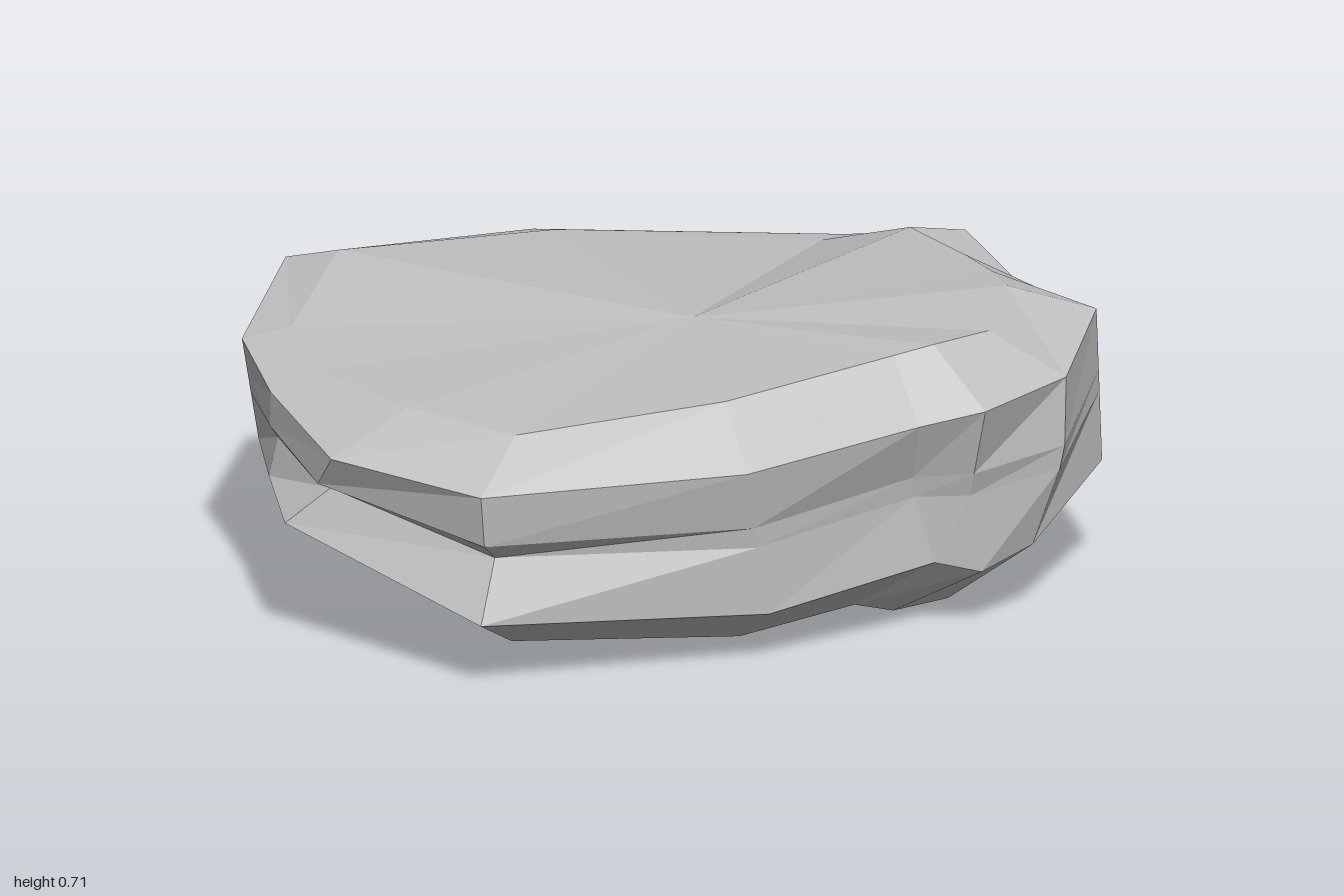
import * as THREE from 'three';

const stone = new THREE.MeshStandardMaterial({ color: 0xc0c0c0, flatShading: true });
stone.name = 'light grey stone';

// Cross-sections [x, y, z], starting at the back and passing +x, front, -x
const crown = [
  [0, 0.63, -0.64], [0.63, 0.555, -0.55], [0.75, 0.655, -0.29], [0.77, 0.68, 0], [0.77, 0.697, 0.19],
  [0.75, 0.71, 0.33], [0.62, 0.685, 0.55], [0.46, 0.69, 0.61], [0.36, 0.675, 0.61], [-0.07, 0.625, 0.64],
  [-0.57, 0.585, 0.58], [-0.74, 0.59, 0.32], [-0.83, 0.585, -0.02], [-0.8, 0.605, -0.28], [-0.56, 0.665, -0.59],
];
const shoulder = [
  [0, 0.585, -0.785], [0.71, 0.54, -0.61], [0.9, 0.62, -0.32], [0.92, 0.58, 0], [0.94, 0.61, 0.19],
  [0.96, 0.64, 0.37], [0.78, 0.58, 0.64], [0.53, 0.565, 0.765], [0.38, 0.535, 0.73], [-0.07, 0.49, 0.78],
  [-0.7, 0.48, 0.69], [-0.95, 0.505, 0.37], [-0.95, 0.545, -0.02], [-0.91, 0.58, -0.31], [-0.65, 0.624, -0.7],
];
const skirt = [
  [0, 0.315, -0.735], [0.67, 0.34, -0.56], [0.935, 0.34, -0.25], [0.95, 0.345, 0], [1, 0.3, 0.2],
  [0.97, 0.27, 0.38], [0.7, 0.175, 0.63], [0.55, 0.145, 0.69], [0.44, 0.175, 0.67], [0, 0.125, 0.74],
  [-0.7, 0.165, 0.69], [-1, 0.3, 0.2], [-0.955, 0.34, -0.02], [-0.88, 0.34, -0.28], [-0.58, 0.24, -0.64],
];
const base = [
  [0, 0.145, -0.57], [0.5, 0.17, -0.42], [0.66, 0.185, -0.15], [0.72, 0.165, 0.03], [0.74, 0.145, 0.18],
  [0.72, 0.12, 0.3], [0.55, 0.01, 0.47], [0.41, 0, 0.48], [0.31, 0.03, 0.49], [0, 0.01, 0.55],
  [-0.55, 0.05, 0.5], [-0.75, 0.15, 0.25], [-0.74, 0.14, -0.02], [-0.68, 0.11, -0.25], [-0.44, 0.07, -0.56],
];

// How far the side is pinched inward at each column: a lip and a notch below it
const lip = [0, 0.02, 0, 0, 0, 0, -0.03, 0.03, 0.05, 0.02, 0.02, 0.015, 0, 0, 0];
const notch = [0, 0.02, 0, 0, 0, 0, -0.03, 0.04, 0.05, 0.02, 0.08, 0.07, 0.02, 0, 0];

function between(t, pinch) {
  return shoulder.map((p, i) => {
    const [x, y, z] = p.map((v, k) => THREE.MathUtils.lerp(v, skirt[i][k], t));
    return [x * (1 - pinch[i]), y, z * (1 - pinch[i])];
  });
}

// Skin the loops and close both ends with fans
function loftRock(rings, topCentre, bottomCentre) {
  const n = rings[0].length;
  const points = [...rings.flat(), topCentre, bottomCentre];
  const top = points.length - 2, bottom = points.length - 1, last = (rings.length - 1) * n;
  const index = [];
  for (let i = 0; i < n; i++) {
    const j = (i + 1) % n;
    index.push(top, j, i, bottom, last + i, last + j);
    for (let r = 0; r < last; r += n) {
      index.push(r + i, r + j, r + n + j, r + i, r + n + j, r + n + i);
    }
  }
  const geometry = new THREE.BufferGeometry();
  geometry.setAttribute('position', new THREE.Float32BufferAttribute(points.flat(), 3));
  geometry.setIndex(index);
  const flat = geometry.toNonIndexed();
  flat.computeVertexNormals();
  return flat;
}

export function createModel() {
  const group = new THREE.Group();
  group.name = 'flatRock';
  const rings = [crown, shoulder, between(0.4, lip), between(0.54, notch), skirt, base];
  const rock = new THREE.Mesh(loftRock(rings, [0.06, 0.64, 0.09], [0.05, 0.1, 0.09]), stone);
  rock.name = 'rock';
  group.add(rock);
  return group;
}
